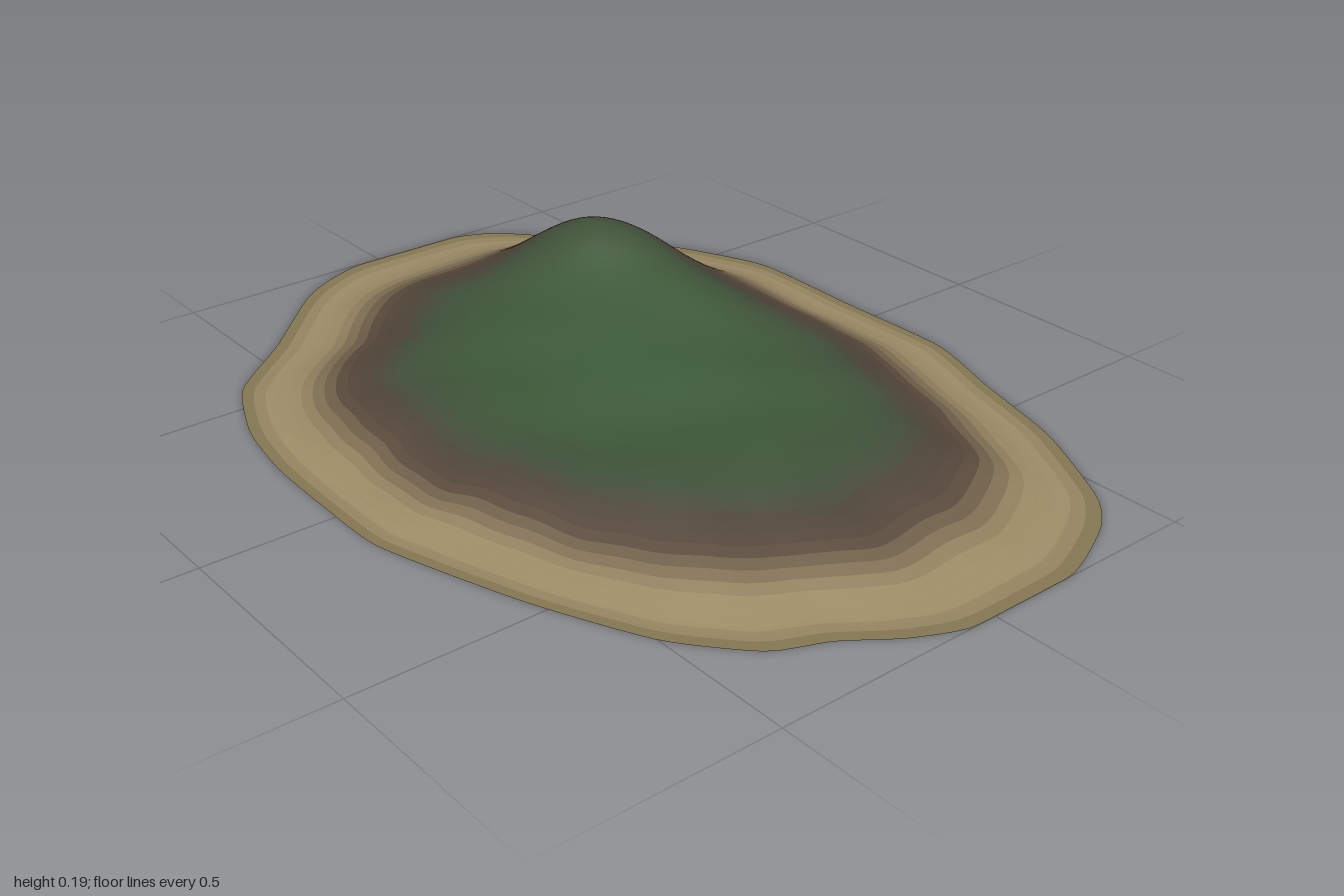
import * as THREE from 'three';

const SEGMENTS = 180, RINGS = 64, ROWS_PER_BAND = 2;

// Shoreline corners as [x, z]
const SHORE = [
  [-1, -0.22], [-0.95, -0.33], [-0.78, -0.48], [-0.6, -0.62], [-0.38, -0.715], [-0.1, -0.715],
  [0.2, -0.715], [0.4, -0.65], [0.63, -0.58], [0.85, -0.46], [0.93, -0.37], [1, -0.2],
  [1, 0.05], [0.95, 0.17], [0.88, 0.27], [0.83, 0.38], [0.69, 0.5], [0.45, 0.61],
  [0.14, 0.71], [-0.05, 0.715], [-0.23, 0.71], [-0.4, 0.68], [-0.58, 0.6], [-0.72, 0.44],
  [-0.9, 0.26], [-0.96, 0.17], [-1, 0.05],
];

// Ground colours from the centre (0) to the shore (1)
const COLOURS = [
  [0, 0x3e5f3d], [0.4, 0x3f5939], [0.56, 0x40513a], [0.65, 0x4e453a], [0.73, 0x57483b],
  [0.79, 0x7d6d52], [0.85, 0x9c8c66], [0.93, 0xa0906a], [0.97, 0x8f8059], [1, 0x7d6f4d],
];

const bump = (x, z, cx, cz, sx, sz, h) =>
  h * Math.exp(-0.5 * (((x - cx) / sx) ** 2 + ((z - cz) / sz) ** 2));

// Height at (x, z), where t is 0 at the centre and 1 at the shore
function height(x, z, t) {
  const plateau = 0.086 * THREE.MathUtils.smoothstep(1 - t, 0.035, 0.5);
  const fade = THREE.MathUtils.smoothstep(1 - t, 0.02, 0.25);
  const hills =
    bump(x, z, -0.53, -0.31, 0.14, z < -0.31 ? 0.14 : 0.115, 0.115) + // peak
    bump(x, z, -0.27, -0.3, 0.14, 0.1, 0.038) +                       // ridge behind the plain
    bump(x, z, 0.4, 0.1, 0.1, 0.2, 0.013) +
    bump(x, z, 0, -0.05, 0.12, 0.1, 0.012) +
    bump(x, z, -0.1, 0.32, 0.2, 0.08, 0.008);
  const ripples = 0.0025 * Math.sin(17 * x + 9 * z) + 0.002 * Math.sin(23 * z - 11 * x);
  return Math.max(0, plateau + fade * (hills + ripples));
}

function colourAt(r) {
  const i = Math.max(1, COLOURS.findIndex(([stop]) => stop >= r));
  const [r0, c0] = COLOURS[i - 1], [r1, c1] = COLOURS[i];
  return new THREE.Color(c0).lerp(new THREE.Color(c1), (r - r0) / (r1 - r0));
}

// Triangles joining consecutive closed rows of points, facing up
function stripIndex(rows) {
  const index = [];
  for (let i = 0; i < rows; i++) {
    for (let j = 0; j < SEGMENTS; j++) {
      const k = (j + 1) % SEGMENTS;
      const a = i * SEGMENTS + j, b = i * SEGMENTS + k;
      const c = a + SEGMENTS, d = b + SEGMENTS;
      index.push(a, d, c);
      if (i > 0 || rows !== RINGS) index.push(a, b, d);
    }
  }
  return index;
}

// Whole landform as concentric rings, with shared smooth normals
function buildLand() {
  const curve = new THREE.CatmullRomCurve3(
    SHORE.map(([x, z]) => new THREE.Vector3(x, 0, z)), true, 'catmullrom', 0.3);
  const shore = curve.getSpacedPoints(SEGMENTS).slice(0, SEGMENTS);
  const positions = [];
  for (let i = 0; i <= RINGS; i++) {
    const r = i / RINGS;
    shore.forEach((p) => {
      // Rings bulge round the peak and wander a little elsewhere
      const angle = Math.atan2(p.z, p.x);
      const warp = 0.045 * Math.exp(-(((angle + 2.61) / 0.35) ** 2))
        + 0.008 * Math.sin(9 * angle) + 0.005 * Math.sin(23 * angle + 1);
      const t = r + warp * Math.sin(Math.PI * r);
      const x = THREE.MathUtils.clamp(p.x * t, -1, 1), z = p.z * t;
      positions.push(x, height(x, z, t), z);
    });
  }
  const land = new THREE.BufferGeometry();
  land.setAttribute('position', new THREE.Float32BufferAttribute(positions, 3));
  land.setIndex(stripIndex(RINGS));
  land.computeVertexNormals();
  return land;
}

export function createModel() {
  const island = new THREE.Group();
  island.name = 'island';
  const zones = {};
  for (const name of ['grassland', 'soilSlope', 'beach']) {
    zones[name] = new THREE.Group();
    zones[name].name = name;
    island.add(zones[name]);
  }

  // Cut the land into narrow bands, each with its own ground colour
  const land = buildLand();
  for (let row = 0; row < RINGS; row += ROWS_PER_BAND) {
    const band = new THREE.BufferGeometry();
    for (const key of ['position', 'normal']) {
      const part = land.attributes[key].array.slice(
        row * SEGMENTS * 3, (row + ROWS_PER_BAND + 1) * SEGMENTS * 3);
      band.setAttribute(key, new THREE.BufferAttribute(part, 3));
    }
    band.setIndex(stripIndex(ROWS_PER_BAND));
    const r = (row + ROWS_PER_BAND / 2) / RINGS;
    const zone = r < 0.6 ? 'grassland' : r < 0.78 ? 'soilSlope' : 'beach';
    const mesh = new THREE.Mesh(band, new THREE.MeshStandardMaterial({
      color: colourAt(r), side: THREE.DoubleSide,
    }));
    mesh.name = zone + 'Band' + (zones[zone].children.length + 1);
    zones[zone].add(mesh);
  }
  return island;
}
